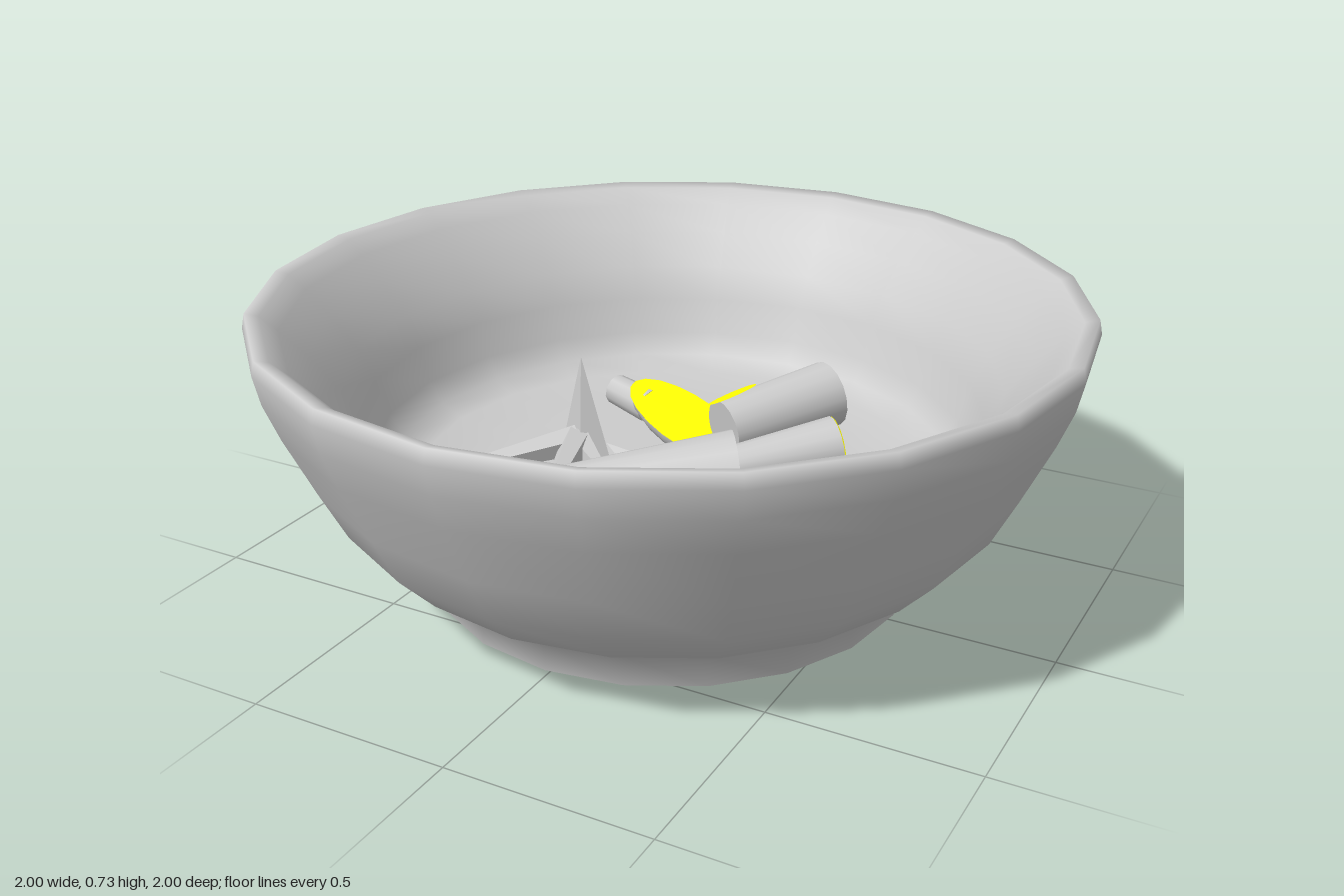
import * as THREE from 'three';

const grey = new THREE.MeshStandardMaterial({ color: 0xcccccc });
const greyThin = new THREE.MeshStandardMaterial({ color: 0xcccccc, side: THREE.DoubleSide, flatShading: true });
const yellow = new THREE.MeshStandardMaterial({ color: 0xffff00, side: THREE.DoubleSide });
const UP = new THREE.Vector3(0, 1, 0);

function add(parent, name, geometry, material) {
  const mesh = new THREE.Mesh(geometry, material);
  mesh.name = name;
  parent.add(mesh);
  return mesh;
}

function group(parent, name) {
  const g = new THREE.Group();
  g.name = name;
  parent.add(g);
  return g;
}

// Tapered round piece running from point a (radius ra) to point b (radius rb)
function taper(parent, name, a, b, ra, rb, sides = 16, material = grey) {
  const start = new THREE.Vector3(...a), end = new THREE.Vector3(...b);
  const dir = end.clone().sub(start);
  const mesh = add(parent, name, new THREE.CylinderGeometry(rb, ra, dir.length(), sides), material);
  mesh.position.copy(start).add(end).multiplyScalar(0.5);
  mesh.quaternion.setFromUnitVectors(UP, dir.normalize());
}

// Flat yellow disc facing along dir, optionally narrowed to an oval
function cutFace(parent, name, at, dir, radius, narrow = 1) {
  const geometry = new THREE.CircleGeometry(radius, 16).scale(narrow, 1, 1);
  const mesh = add(parent, name, geometry, yellow);
  mesh.position.set(...at);
  mesh.quaternion.setFromUnitVectors(new THREE.Vector3(0, 0, 1), new THREE.Vector3(...dir).normalize());
}

// Thin triangles from a list of corners, three per face
function triangles(parent, name, corners, material) {
  const geometry = new THREE.BufferGeometry();
  geometry.setAttribute('position', new THREE.Float32BufferAttribute(corners.flat(), 3));
  geometry.computeVertexNormals();
  add(parent, name, geometry, material);
}

export function createModel() {
  const model = new THREE.Group();
  model.name = 'bowlWithPieces';

  // Bowl in one smooth sweep: underside, foot, outer wall, rounded rim, steepening inner wall, floor
  const profile = [
    [0, 0], [0.58, 0.003], [0.602, 0.015], [0.603, 0.09], [0.73, 0.165], [0.82, 0.26], [0.88, 0.38],
    [0.95, 0.53], [0.985, 0.62], [1, 0.69], [0.993, 0.725], [0.96, 0.717], [0.92, 0.68], [0.86, 0.615],
    [0.795, 0.53], [0.755, 0.45], [0.725, 0.36], [0.69, 0.305], [0.63, 0.275], [0.45, 0.255], [0, 0.25],
  ].map(([r, y]) => new THREE.Vector2(r, y));
  add(model, 'bowl', new THREE.LatheGeometry(profile, 20), grey);

  // Large tapered piece with a pointed tip
  const large = group(model, 'largePiece');
  taper(large, 'largeBody', [0.25, 0.37, 0.15], [-0.125, 0.345, 0.405], 0.107, 0.055);
  taper(large, 'largeTip', [-0.125, 0.345, 0.405], [-0.205, 0.345, 0.45], 0.055, 0.001);

  // Upper piece, resting across its neighbours, cut at the end and on one side
  const upper = group(model, 'upperPiece');
  taper(upper, 'upperBody', [0.09, 0.35, -0.11], [0.26, 0.385, -0.37], 0.075, 0.085);
  cutFace(upper, 'upperCutFace', [0.088, 0.349, -0.112], [-0.17, -0.035, 0.26], 0.073);
  cutFace(upper, 'upperSideCut', [0.092, 0.43, -0.15], [-0.4, 0.9, -0.05], 0.075, 0.5);

  // Short piece with a cut end
  const short = group(model, 'shortPiece');
  taper(short, 'shortBody', [0.1, 0.3, 0.065], [0.36, 0.335, -0.18], 0.045, 0.075);
  cutFace(short, 'shortCutFace', [0.362, 0.336, -0.182], [0.26, 0.035, -0.245], 0.073);

  // Halved piece lying with its oval cut side up
  const half = group(model, 'halvedPiece');
  half.position.set(-0.05, 0.32, -0.18);
  half.rotation.set(0.2, -0.4, -0.22, 'YXZ');
  const body = new THREE.SphereGeometry(1, 16, 6, 0, Math.PI * 2, Math.PI / 2, Math.PI / 2);
  add(half, 'halvedBody', body.scale(0.21, 0.08, 0.085), grey);
  add(half, 'halvedCutFace', new THREE.CircleGeometry(1, 20).rotateX(-Math.PI / 2).scale(0.21, 1, 0.085), yellow);
  taper(model, 'halvedStub', [-0.31, 0.325, -0.265], [-0.19, 0.31, -0.235], 0.04, 0.045, 10);

  // Upright pointed wedge with a cut back
  const wedge = group(model, 'wedge');
  const tip = [-0.24, 0.53, 0.025], left = [-0.31, 0.27, 0.01], right = [-0.15, 0.27, 0.04], ridge = [-0.21, 0.27, 0.09];
  triangles(wedge, 'wedgeFront', [left, ridge, tip, ridge, right, tip], greyThin);
  triangles(wedge, 'wedgeCutBack', [right, left, tip], yellow);

  // Slender spikes fanning out from the wedge
  [[-0.465, 0.28, 0.31], [-0.155, 0.28, 0.35], [-0.13, 0.28, 0.115]].forEach((end) =>
    taper(wedge, 'spike', [-0.235, 0.32, 0.06], end, 0.04, 0.015, 5, greyThin));

  // Thin sliver on the floor
  const a = [-0.195, 0.29, -0.015], b = [0.06, 0.3, 0.05], c = [-0.03, 0.26, 0.105], d = [-0.03, 0.25, 0.03];
  triangles(model, 'sliver', [a, c, b, a, b, d, a, d, c, c, d, b], greyThin);

  return model;
}
